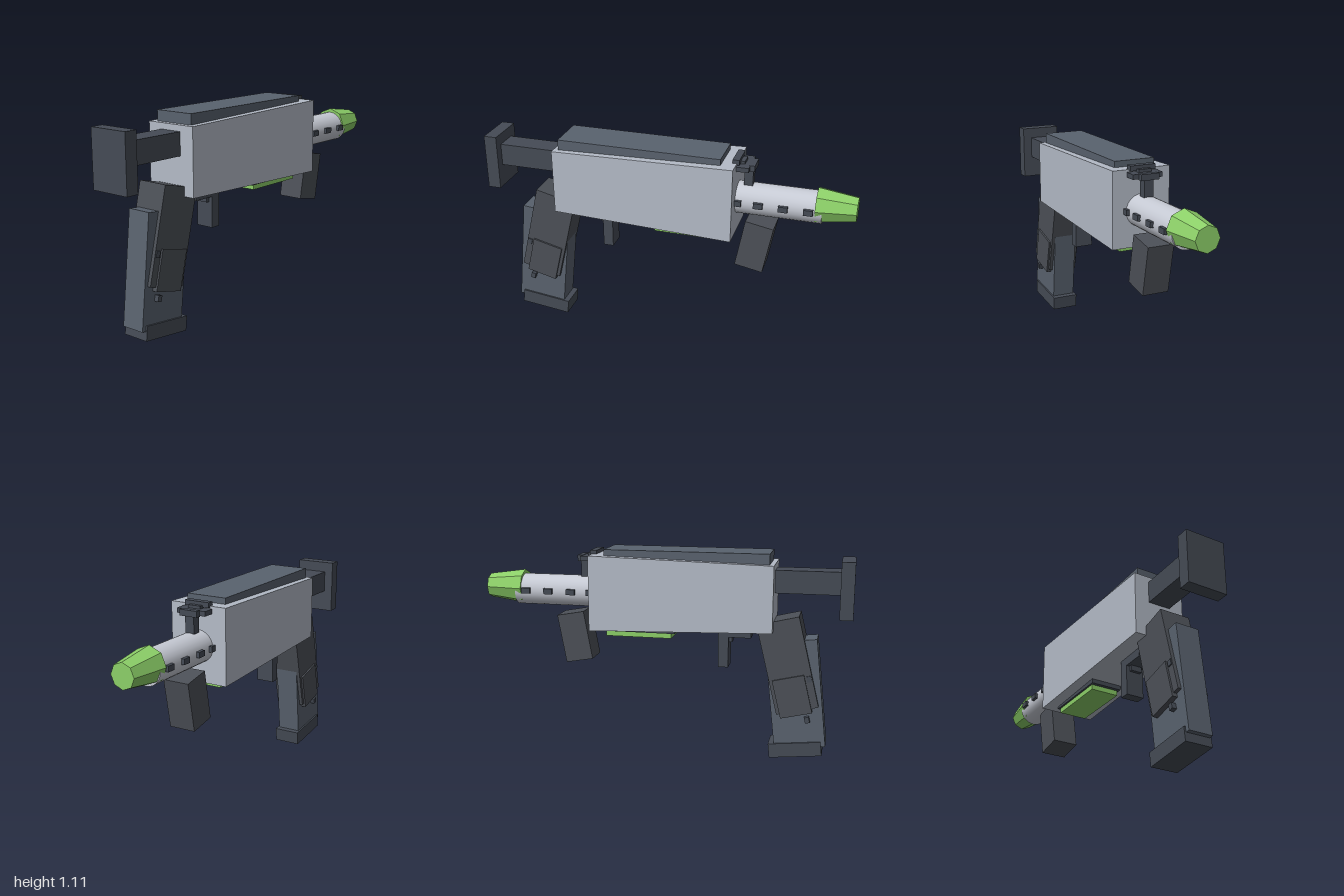
import * as THREE from 'three';

const paint = (color) => new THREE.MeshStandardMaterial({ color });

export function createModel() {
  const model = new THREE.Group();
  const shell = paint(0xb4bbc7), slate = paint(0x59626e), dark = paint(0x454b55);
  const grip = paint(0x4c5057), silver = paint(0xc6cad4), green = paint(0x8ccf68);

  const add = (name, geometry, material, x, y, z, tilt = 0) => {
    const mesh = new THREE.Mesh(geometry, material);
    mesh.name = name;
    mesh.position.set(x, y, z);
    mesh.rotation.x = -THREE.MathUtils.degToRad(tilt);
    model.add(mesh);
    return mesh;
  };
  // Box centred on x = 0, given by its y and z ranges
  const block = (name, material, width, y0, y1, z0, z1) =>
    add(name, new THREE.BoxGeometry(width, y1 - y0, z1 - z0), material, 0, (y0 + y1) / 2, (z0 + z1) / 2);
  // Box leaning so that its foot moves towards +z
  const leaning = (name, material, width, height, depth, y, z, tilt) =>
    add(name, new THREE.BoxGeometry(width, height, depth), material, 0, y, z, tilt);

  // Main body, slightly larger at the muzzle end
  const bodyGeometry = new THREE.BoxGeometry(0.32, 0.403, 0.98);
  const p = bodyGeometry.attributes.position;
  for (let i = 0; i < p.count; i++) {
    if (p.getZ(i) > 0) p.setXY(i, p.getX(i) * 0.905, p.getY(i) * 0.87);
  }
  bodyGeometry.computeVertexNormals();
  add('body', bodyGeometry, shell, 0, 0.8815, 0.105);
  block('topRail', slate, 0.224, 1.0, 1.113, -0.31, 0.57);

  // Shoulder stock
  block('stockBar', dark, 0.125, 0.905, 1.025, 0.55, 0.94);
  block('stockPlate', dark, 0.224, 0.785, 1.083, 0.93, 1.0);

  // Rear grip and magazine
  leaning('rearGrip', grip, 0.17, 0.496, 0.227, 0.522, 0.675, 13.7);
  leaning('magazine', slate, 0.132, 0.588, 0.273, 0.363, 0.719, 6.3);
  leaning('magazineBase', dark, 0.15, 0.077, 0.281, 0.059, 0.726, 6.3);
  leaning('gripPanel', grip, 0.19, 0.21, 0.171, 0.359, 0.704, 13.7);
  for (const [y, z] of [[0.235, 0.786], [0.46, 0.79]]) {
    leaning('gripStud', dark, 0.182, 0.032, 0.025, y, z, 13.7);
  }

  // Trigger
  block('triggerMount', dark, 0.1, 0.655, 0.72, 0.3, 0.475);
  block('trigger', dark, 0.1, 0.49, 0.66, 0.3, 0.355);
  block('triggerPivot', dark, 0.06, 0.625, 0.66, 0.35, 0.372);

  // Underside panel
  block('underPlate', dark, 0.18, 0.668, 0.71, -0.325, 0.07);
  block('underPanel', green, 0.16, 0.64, 0.67, -0.31, 0.05);

  // Front grip
  leaning('frontGrip', grip, 0.145, 0.267, 0.152, 0.621, -0.493, 10.4);

  // Barrel with its side studs and faceted tip
  const barrel = new THREE.CylinderGeometry(0.085, 0.085, 0.48, 24).rotateX(-Math.PI / 2);
  add('barrel', barrel, silver, 0, 0.87, -0.59);
  for (const z of [-0.395, -0.507, -0.635, -0.763]) {
    for (const side of [-1, 1]) {
      add('barrelStud', new THREE.BoxGeometry(0.035, 0.03, 0.048), dark, side * 0.083, 0.873, z);
    }
  }
  const tipMaterial = paint(0x8ccf68);
  tipMaterial.flatShading = true;
  const tip = new THREE.CylinderGeometry(0.066, 0.095, 0.205, 8).rotateX(-Math.PI / 2);
  add('barrelTip', tip, tipMaterial, 0, 0.882, -0.8975);

  // Front sight
  block('sightPost', dark, 0.05, 0.93, 1.05, -0.463, -0.417);
  block('sightFoot', dark, 0.1, 1.04, 1.072, -0.474, -0.445);
  block('sightBridge', dark, 0.165, 1.045, 1.07, -0.45, -0.385);
  block('sightBlade', dark, 0.14, 1.075, 1.102, -0.398, -0.362);
  block('sightNeck', dark, 0.07, 1.06, 1.085, -0.42, -0.385);

  return model;
}
